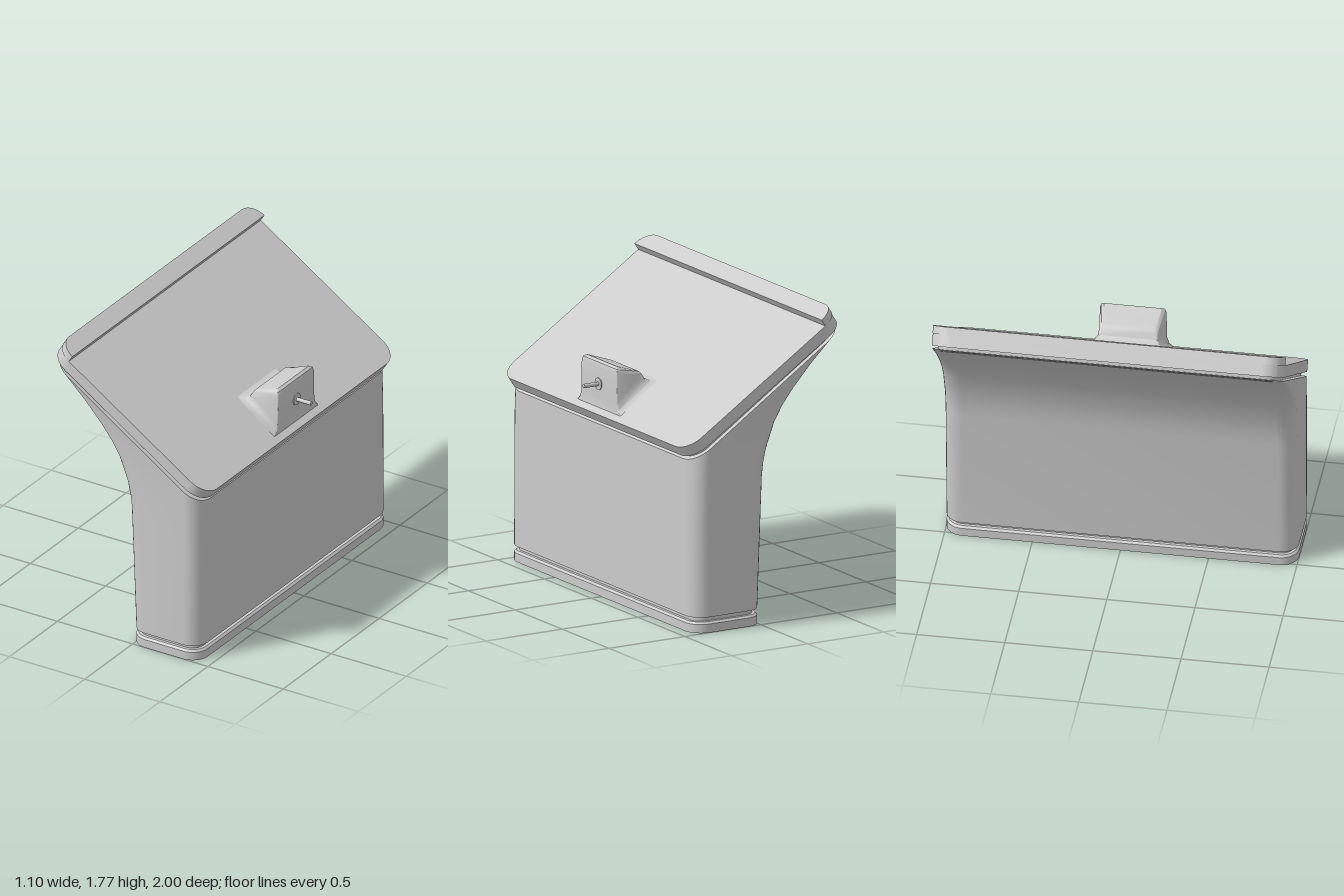
import * as THREE from 'three';
import { toCreasedNormals } from 'three/addons/utils/BufferGeometryUtils.js';

const material = new THREE.MeshStandardMaterial({ color: 0xcccccc });

function add(parent, name, geometry) {
  const mesh = new THREE.Mesh(toCreasedNormals(geometry, 0.6), material);
  mesh.name = name;
  parent.add(mesh);
  return mesh;
}

// Closed loft through tilted rounded rectangles, listed bottom to top.
// Ring: [left x, left y, right x, right y, left half width, right half width, corner radius]
function loft(rings) {
  const SEG = 8, n = 4 * (SEG + 1);
  const pos = [], idx = [];
  for (const [xl, yl, xr, yr, wl, wr, r] of rings) {
    const len = Math.hypot(xr - xl, yr - yl);
    for (let q = 0; q < 4; q++) {
      const right = q === 0 || q === 3, side = q < 2 ? -1 : 1;
      for (let s = 0; s <= SEG; s++) {
        const a = (q + s / SEG) * Math.PI / 2;
        const t = ((right ? len - r : r) + r * Math.cos(a)) / len;
        const w = wl + (wr - wl) * t;
        pos.push(xl + (xr - xl) * t, yl + (yr - yl) * t, side * (w - r * (1 - Math.abs(Math.sin(a)))));
      }
    }
  }
  for (let i = 0; i < rings.length - 1; i++) {
    for (let j = 0; j < n; j++) {
      const a = i * n + j, b = i * n + (j + 1) % n;
      idx.push(a, b, b + n, a, b + n, a + n);
    }
  }
  // end caps
  const last = (rings.length - 1) * n, c = rings.length * n;
  for (const [xl, yl, xr, yr] of [rings[0], rings[rings.length - 1]]) {
    pos.push((xl + xr) / 2, (yl + yr) / 2, 0);
  }
  for (let j = 0; j < n; j++) {
    const k = (j + 1) % n;
    idx.push(c, k, j, c + 1, last + j, last + k);
  }
  const g = new THREE.BufferGeometry();
  g.setAttribute('position', new THREE.Float32BufferAttribute(pos, 3));
  g.setIndex(idx);
  return g;
}

// Flat plate from u = 0 to len, with rounded corners at the start and (optionally) the end
function plate(len, r, rEnd, thickness) {
  const s = new THREE.Shape(), w = 1, P = Math.PI;
  s.absarc(r, -w + r, r, P, 1.5 * P);
  if (rEnd) {
    s.absarc(len - rEnd, -w + rEnd, rEnd, 1.5 * P, 2 * P);
    s.absarc(len - rEnd, w - rEnd, rEnd, 0, P / 2);
  } else {
    s.lineTo(len, -w);
    s.lineTo(len, w);
  }
  s.absarc(r, w - r, r, P / 2, P);
  s.closePath();
  return new THREE.ExtrudeGeometry(s, { depth: thickness, bevelEnabled: false, curveSegments: 10 })
    .rotateX(-P / 2);
}

export function createModel() {
  const model = new THREE.Group();
  model.name = 'slantedCounter';

  // Plinth with a chamfered top edge, and the recess above it
  const level = (y, inset) =>
    [-0.02 + inset, y, 0.435 - inset, y, 1 - inset, 1 - inset, 0.1 - inset];
  add(model, 'plinth', loft([level(0, 0), level(0.05, 0), level(0.062, 0.012)]));
  add(model, 'plinthRecess', loft([level(0.055, 0.03), level(0.1, 0.03)]));

  // Body flaring out towards the back under the slanted top
  const profile = [
    [-0.02, 0.09, 0.09], [-0.05, 0.85, 0.66], [-0.06, 0.93, 0.71], [-0.08, 1.02, 0.76],
    [-0.14, 1.18, 0.84], [-0.2, 1.28, 0.88], [-0.28, 1.38, 0.92], [-0.4, 1.51, 0.96], [-0.54, 1.643, 0.994],
  ];
  add(model, 'body', loft(profile.map(([x, y, yRight], i) =>
    [x, y, 0.435, yRight, 1, 1, 0.1 + 0.003 * i])));

  // Recess between body and top
  add(model, 'topRecess', loft([
    [-0.51, 1.61, 0.41, 1.0, 0.97, 0.97, 0.1],
    [-0.5, 1.645, 0.42, 1.04, 0.97, 0.97, 0.1],
  ]));

  // Slanted top with a raised lip along its high edge
  const top = new THREE.Group();
  top.name = 'slantedTop';
  top.position.set(-0.55, 1.672, 0);
  top.rotation.z = -0.5806;
  model.add(top);
  add(top, 'topPanel', plate(1.196, 0.12, 0.12, 0.068));
  add(top, 'raisedLip', plate(0.105, 0.104, 0, 0.045)).position.y = 0.068;

  // Wedge-shaped housing with a flared foot
  add(model, 'housing', loft([
    [0.18, 1.27, 0.45, 1.092, 0.215, 0.235, 0.01],
    [0.22, 1.262, 0.45, 1.12, 0.185, 0.205, 0.01],
    [0.25, 1.275, 0.45, 1.16, 0.17, 0.193, 0.01],
    [0.27, 1.307, 0.45, 1.335, 0.165, 0.19, 0.01],
    [0.28, 1.318, 0.445, 1.357, 0.155, 0.183, 0.01],
    [0.3, 1.325, 0.43, 1.368, 0.14, 0.165, 0.01],
  ]));

  // Pin and its collar
  const pin = (name, radius, x0, x1) =>
    add(model, name, new THREE.CylinderGeometry(radius, radius, x1 - x0, 20).rotateZ(Math.PI / 2))
      .position.set((x0 + x1) / 2, 1.235, 0);
  pin('pinCollar', 0.035, 0.445, 0.456);
  pin('pin', 0.012, 0.44, 0.55);

  return model;
}
